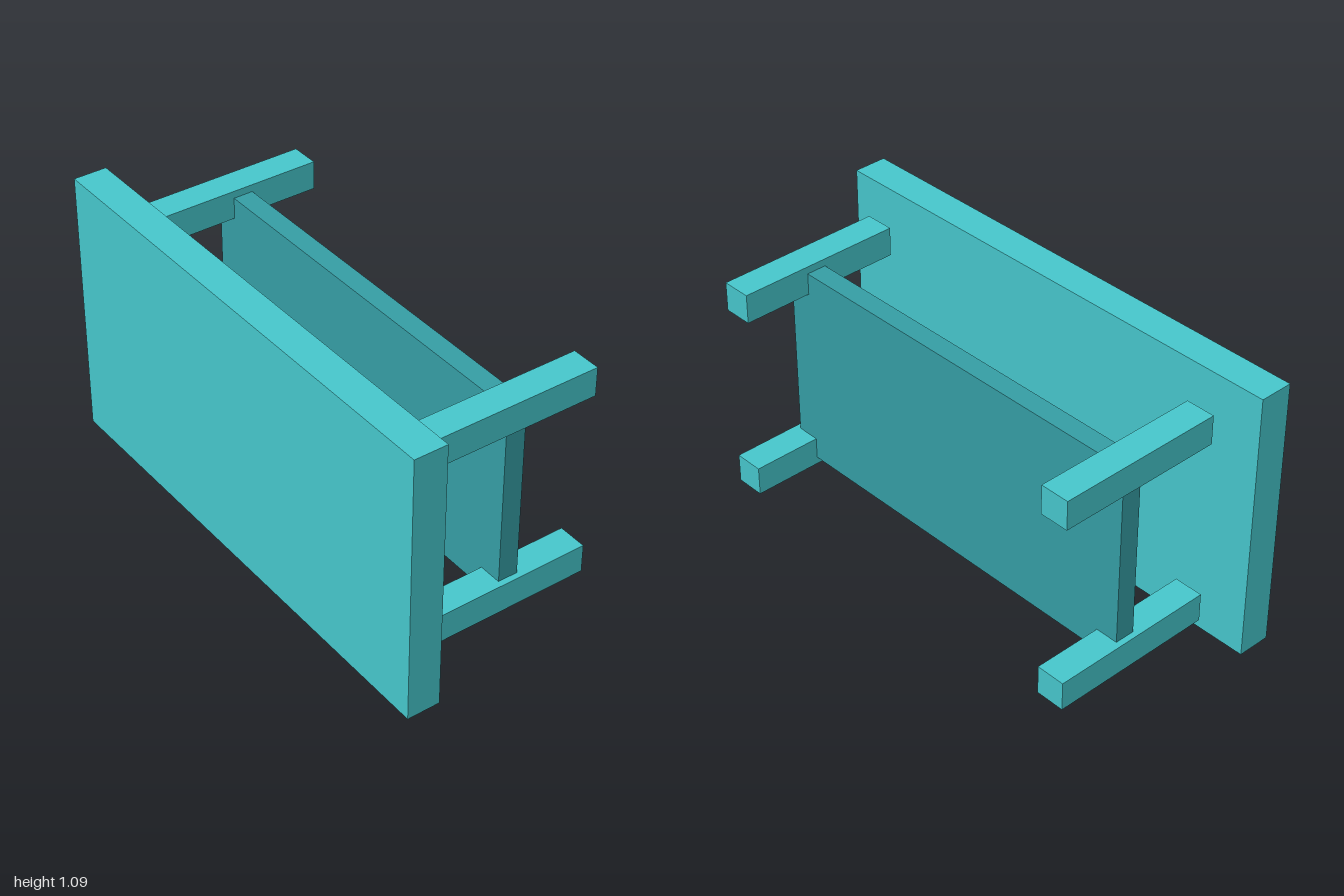
import * as THREE from 'three';

export function createModel() {
  const model = new THREE.Group();
  model.name = 'sidewaysTable';

  const turquoise = new THREE.MeshStandardMaterial({ name: 'turquoise', color: 0x46c6cb });
  const teal = new THREE.MeshStandardMaterial({ name: 'darkTeal', color: 0x359da4 });

  const addBox = (name, size, position, material) => {
    const mesh = new THREE.Mesh(new THREE.BoxGeometry(...size), material);
    mesh.name = name;
    mesh.position.set(...position);
    model.add(mesh);
  };

  const midY = 0.5425;

  // Table top, standing upright on its long edge
  addBox('tableTop', [2, 1.085, 0.132], [0, midY, 0.366], turquoise);

  // Shelf, its corners sunk into the legs
  addBox('shelf', [1.664, 0.815, 0.08], [0, midY, -0.116], teal);

  // Four legs pointing backwards, stopping short of the top
  for (const [side, sx] of [['Left', 1], ['Right', -1]]) {
    for (const [level, sy] of [['upper', 1], ['lower', -1]]) {
      addBox(`${level}${side}Leg`, [0.116, 0.115, 0.666], [sx * 0.798, midY + sy * 0.379, -0.099], turquoise);
    }
  }

  return model;
}
